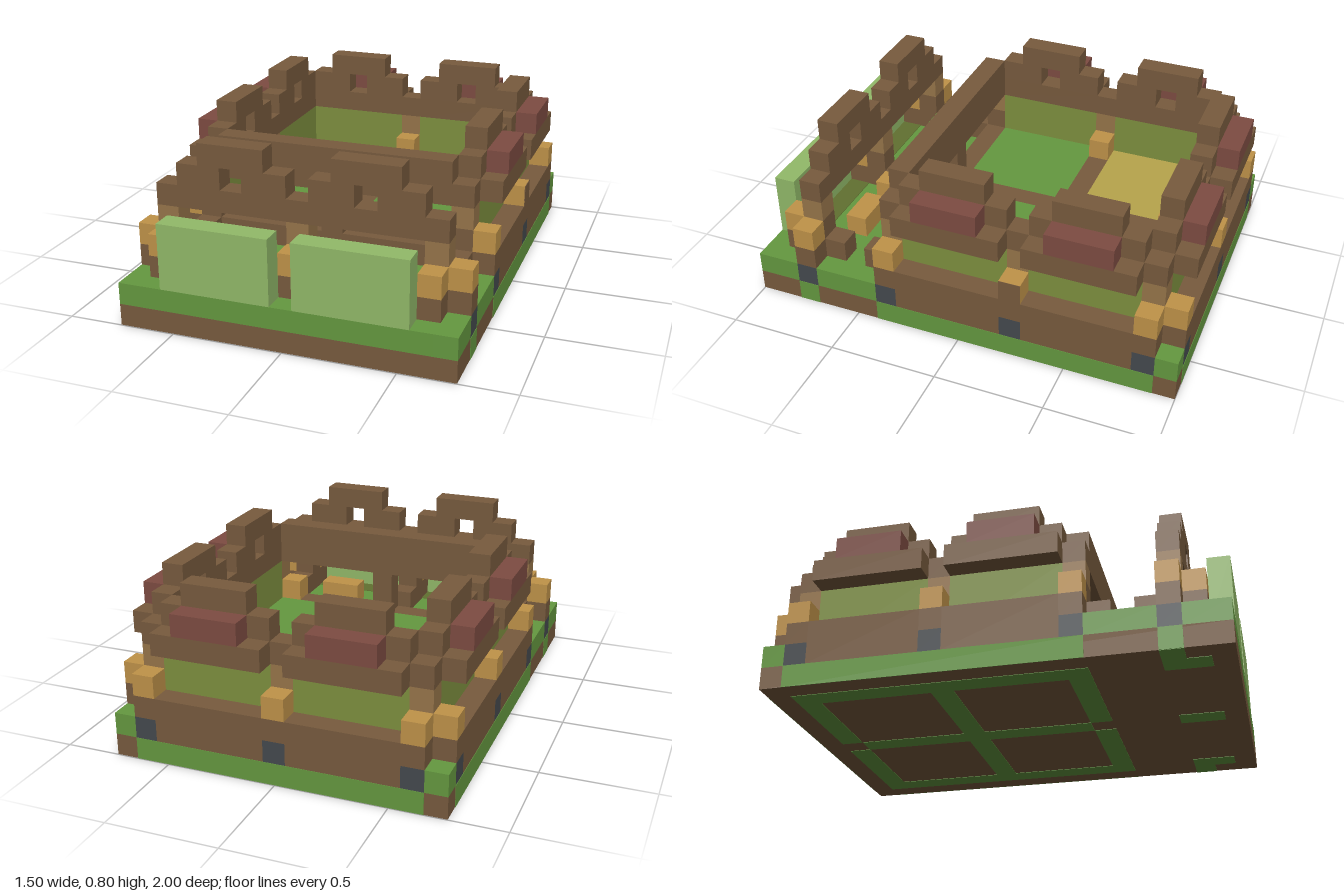
import * as THREE from 'three';

const paint = (name, color) => {
  const m = new THREE.MeshStandardMaterial({ color });
  m.name = name;
  return m;
};

export function createModel() {
  const wood = paint('wood brown', 0x785b3e);
  const paleWood = paint('pale wood', 0x97754a);
  const grass = paint('grass green', 0x659940);
  const stone = paint('stone grey', 0x454a4e);
  const amber = paint('amber', 0xc09349);
  const red = paint('brick red', 0x7e4c42);
  const olive = paint('olive', 0x7e903f);
  const darkOlive = paint('dark olive', 0x627131);
  const straw = paint('straw yellow', 0xb7a54c);
  const mint = paint('light green', 0x92ba69);

  const model = new THREE.Group();
  model.name = 'cutawayHouse';

  // Box given by its limits on each axis
  function box(name, mat, x0, x1, y0, y1, z0, z1, parent = model) {
    const mesh = new THREE.Mesh(new THREE.BoxGeometry(x1 - x0, y1 - y0, z1 - z0), mat);
    mesh.position.set((x0 + x1) / 2, (y0 + y1) / 2, (z0 + z1) / 2);
    mesh.name = name;
    parent.add(mesh);
  }
  // One-cell-wide column centred on x, z
  const column = (name, mat, x, z, y0, y1) =>
    box(name, mat, x - 0.05, x + 0.05, y0, y1, z - 0.05, z + 0.05);

  // Ground: soil layer with grass on top, leaving slots for foundations
  box('soil', wood, -0.75, 0.75, 0, 0.1, -1, 1);
  box('lawn', grass, -0.65, 0.65, 0.1, 0.2, -0.9, 1);
  for (const s of [-1, 1]) {
    const strip = (z0, z1) =>
      box('lawnEdge', grass, s * 0.7 - 0.05, s * 0.7 + 0.05, 0.1, 0.2, z0, z1);
    strip(0.8, 1);
    strip(0.4, 0.7);
    strip(-1, -0.9);
    // Grass colour on the soil below the walls
    const sideBand = (z0, z1) =>
      box('sideBand', grass, s * 0.75 - 0.002, s * 0.75 + 0.002, 0, 0.1, z0, z1);
    sideBand(-0.9, 0.4);
    sideBand(0.7, 0.8);
  }
  box('backBand', grass, -0.65, 0.65, 0, 0.1, -1.002, -0.998);

  // Green footing lines on the underside
  const footing = (x0, x1, z0, z1) => box('footing', grass, x0, x1, -0.002, 0.002, z0, z1);
  for (const x of [-0.6, 0.6]) {
    footing(x - 0.05, x + 0.05, -0.9, 0.4);
    footing(x - 0.05, x + 0.05, 0.7, 0.9);
    footing(x * 7 / 6 - 0.05, x * 7 / 6 + 0.05, 0.7, 0.8);
  }
  footing(-0.05, 0.05, 0.7, 0.9);
  footing(-0.05, 0.05, -0.8, 0.3);
  for (const z of [-0.85, -0.25, 0.35])
    for (const [a, b] of [[-0.55, -0.05], [0.05, 0.55]]) footing(a, b, z - 0.05, z + 0.05);

  // Raised floors of the four rooms, with dividers flush between them
  const room = (mat, x0, x1, z0, z1) => box('roomFloor', mat, x0, x1, 0.2, 0.3, z0, z1);
  room(straw, -0.55, -0.05, -0.8, -0.3);
  room(darkOlive, 0.05, 0.55, -0.8, -0.3);
  room(grass, -0.55, -0.05, -0.2, 0.3);
  room(grass, 0.05, 0.55, -0.2, 0.3);
  box('roomDivider', wood, -0.05, 0.05, 0.2, 0.3, -0.8, 0.3);
  box('roomDivider', wood, -0.55, -0.05, 0.2, 0.3, -0.3, -0.2);
  box('roomDivider', wood, 0.05, 0.55, 0.2, 0.3, -0.3, -0.2);
  for (const x of [-0.5, 0.5]) column('roomPost', amber, x, -0.25, 0.3, 0.4);
  column('roomPost', amber, 0, -0.75, 0.3, 0.4);

  // Wall bay: beam and stepped battlement with a window, facing local +z
  function bay(x, z, turn, outside) {
    const g = new THREE.Group();
    g.name = 'wallBay';
    g.position.set(x, 0, z);
    g.rotation.y = turn;
    box('wallBeam', wood, -0.25, 0.25, 0.5, 0.6, -0.05, 0.05, g);
    for (const s of [-1, 1])
      box('windowSide', wood, s * 0.15 - 0.1, s * 0.15 + 0.1, 0.6, 0.7, -0.05, 0.05, g);
    box('battlement', wood, -0.15, 0.15, 0.7, 0.8, -0.05, 0.05, g);
    if (outside) {
      box('wallPanel', olive, -0.25, 0.25, 0.2, 0.5, -0.05, 0.05, g);
      box('foundation', wood, -0.25, 0.25, 0.1, 0.3, 0.05, 0.15, g);
      box('ledge', wood, -0.25, 0.25, 0.5, 0.6, 0.05, 0.15, g);
      box('windowBox', red, -0.15, 0.15, 0.6, 0.7, 0.05, 0.15, g);
    }
    model.add(g);
  }
  for (const s of [-1, 1]) {
    bay(s * 0.3, -0.85, Math.PI, true);
    bay(s * 0.3, 0.75, 0, false);
    for (const z of [-0.55, 0.05]) bay(s * 0.6, z, s * Math.PI / 2, true);
  }

  // Posts in the wall line
  function wallPost(x, z) {
    column('wallPost', wood, x, z, 0.2, 0.4);
    column('wallPostNeck', paleWood, x, z, 0.4, 0.5);
    column('wallPostHead', wood, x, z, 0.5, 0.6);
  }
  // Short buttresses outside the wall
  function buttress(x, z) {
    column('buttressStone', stone, x, z, 0.1, 0.2);
    column('buttressShaft', wood, x, z, 0.2, 0.3);
    column('buttressCap', amber, x, z, 0.3, 0.4);
  }
  for (const s of [-1, 1]) {
    for (const z of [-0.85, -0.25, 0.35, 0.75]) {
      wallPost(s * 0.6, z);
      buttress(s * 0.7, z);
    }
    for (const z of [-0.95, 0.85]) buttress(s * 0.6, z);
    // Broken wall stubs
    column('wallStub', wood, s * 0.6, 0.45, 0.2, 0.3);
    column('wallStub', wood, s * 0.6, 0.65, 0.2, 0.3);
  }
  for (const z of [-0.85, 0.75]) wallPost(0, z);
  for (const z of [-0.95, 0.85]) buttress(0, z);
  box('buttressFace', wood, 0.749, 0.752, 0.3, 0.4, -0.3, -0.2);

  // Open front of the house: sill and lintel around two gaps
  box('sill', wood, -0.55, 0.55, 0.2, 0.3, 0.3, 0.4);
  box('lintel', wood, -0.55, 0.55, 0.5, 0.7, 0.3, 0.4);
  column('middlePost', wood, 0, 0.35, 0.3, 0.5);
  column('sillBlock', amber, 0.5, 0.35, 0.3, 0.4);

  // Low blocks behind the detached front wall
  column('wallStub', wood, 0, 0.65, 0.2, 0.3);
  column('crate', amber, 0.1, 0.65, 0.2, 0.3);
  box('bench', amber, 0.25, 0.45, 0.2, 0.3, 0.6, 0.7);
  for (const x of [-0.5, -0.3]) column('bush', grass, x, 0.65, 0.2, 0.3);

  // Light slabs standing in front, with dark beds behind them
  for (const [a, b] of [[-0.55, -0.05], [0.05, 0.55]]) {
    box('frontSlab', mint, a, b, 0.2, 0.5, 0.9, 1);
    box('frontBed', darkOlive, a, b, 0.197, 0.203, 0.8, 0.9);
  }
  return model;
}
